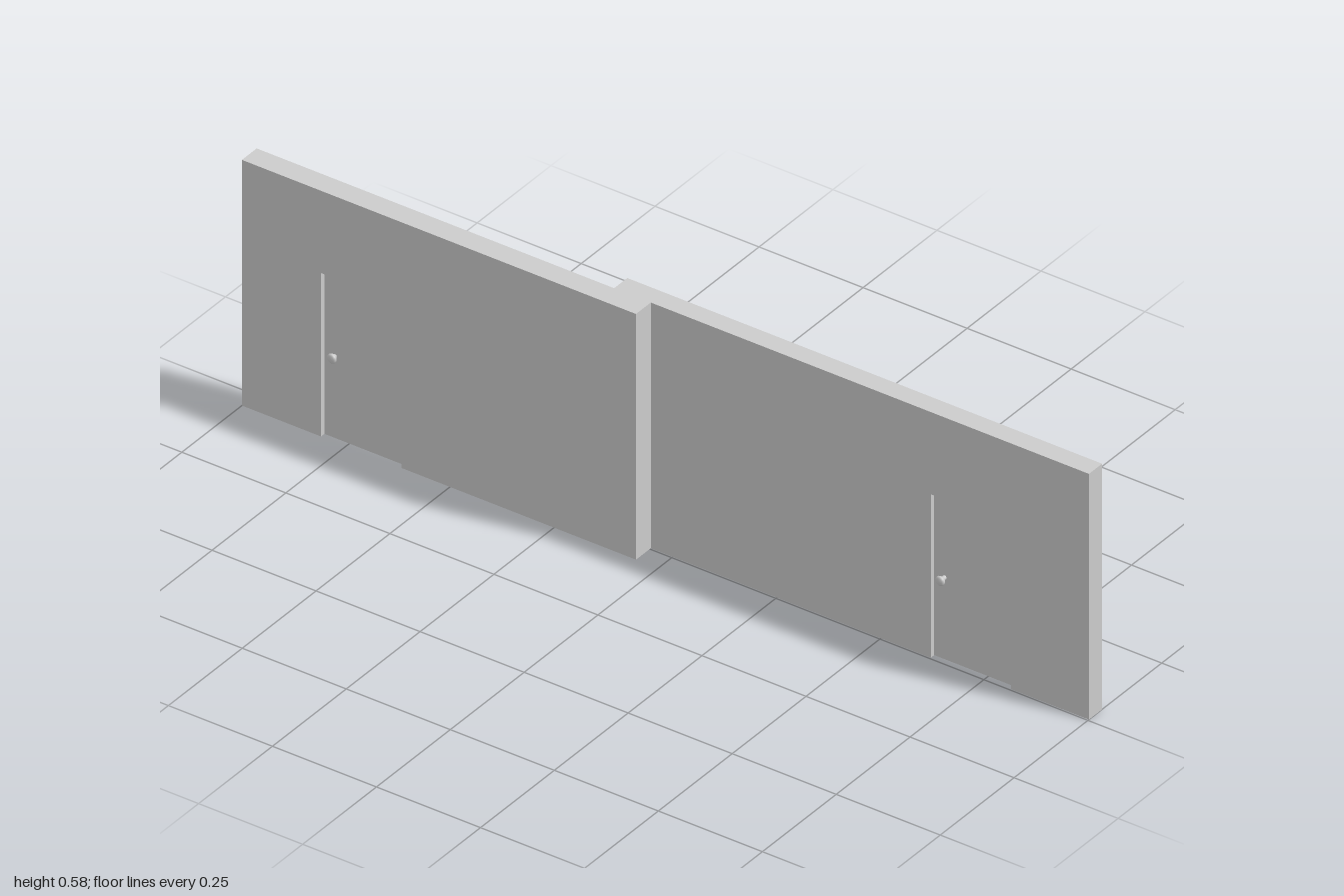
import * as THREE from 'three';

const material = new THREE.MeshStandardMaterial({ color: 0xcccccc });
const HEIGHT = 0.577;
const DOOR_TOP = 0.384;
const RECESS = 0.0115;

function addMesh(parent, name, geometry, x = 0, y = 0, z = 0) {
  const mesh = new THREE.Mesh(geometry, material);
  mesh.name = name;
  mesh.position.set(x, y, z);
  parent.add(mesh);
  return mesh;
}

// Wall slab with a doorway open at the floor, a recessed door and one knob on the -x side
function wallSection(name, { x0, x1, z0, z1, door0, door1, knobZ, knobTip }) {
  const section = new THREE.Group();
  section.name = name;

  // Outline in the (z, y) plane, extruded through the wall thickness
  const outline = new THREE.Shape([
    [z0, 0], [door0, 0], [door0, DOOR_TOP], [door1, DOOR_TOP],
    [door1, 0], [z1, 0], [z1, HEIGHT], [z0, HEIGHT],
  ].map(([z, y]) => new THREE.Vector2(z, y)));
  const slab = new THREE.ExtrudeGeometry(outline, { depth: x1 - x0, bevelEnabled: false });
  slab.rotateY(-Math.PI / 2);
  addMesh(section, 'wall', slab, x1);

  // Door panel set back from both wall faces
  const thickness = x1 - x0 - 2 * RECESS;
  addMesh(section, 'door', new THREE.BoxGeometry(thickness, DOOR_TOP, door1 - door0),
    (x0 + x1) / 2, DOOR_TOP / 2, (door0 + door1) / 2);

  // Knob: slim stem with a rounded head, turned to point along -x
  const length = x0 + RECESS - knobTip;
  const profile = [
    [0.005, -0.002], [0.005, length - 0.01], [0.009, length - 0.009],
    [0.0108, length - 0.006], [0.0105, length - 0.003], [0.0075, length], [0, length],
  ].map(([r, h]) => new THREE.Vector2(r, h));
  const knob = new THREE.LatheGeometry(profile, 16);
  knob.rotateZ(Math.PI / 2);
  addMesh(section, 'doorKnob', knob, x0 + RECESS, 0.192, knobZ);
  return section;
}

export function createModel() {
  const model = new THREE.Group();
  model.name = 'steppedWall';

  // Two parallel walls that overlap and touch at the step
  model.add(
    wallSection('frontWall', {
      x0: 0.0035, x1: 0.048, z0: -0.141, z1: 1,
      door0: 0.62, door1: 0.813, knobZ: 0.645, knobTip: -0.005,
    }),
    wallSection('backWall', {
      x0: -0.0465, x1: 0.0035, z0: -1, z1: -0.053,
      door0: -0.81, door1: -0.617, knobZ: -0.785, knobTip: -0.05,
    }),
  );
  return model;
}
